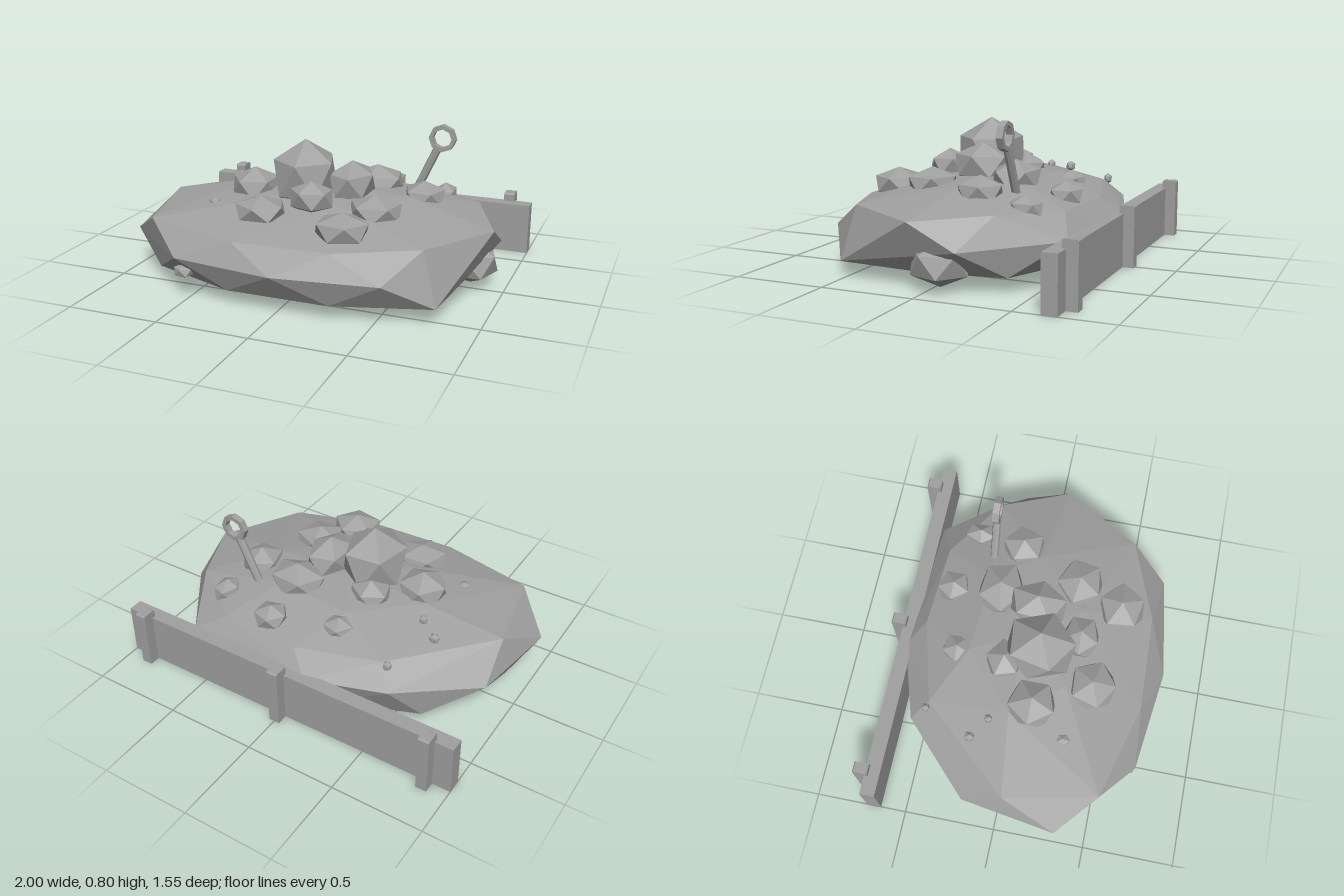
import * as THREE from 'three';
import { ConvexGeometry } from 'three/addons/geometries/ConvexGeometry.js';

export function createModel() {
  const model = new THREE.Group();
  const grey = new THREE.MeshStandardMaterial({ color: 0xa0a0a0, flatShading: true });
  grey.name = 'stone grey';

  const add = (name, geometry, x = 0, y = 0, z = 0, parent = model) => {
    const mesh = new THREE.Mesh(geometry, grey);
    mesh.name = name;
    mesh.position.set(x, y, z);
    parent.add(mesh);
    return mesh;
  };

  // Faceted mound: the hull of a few uneven rings of [x, z] at given heights
  const points = [];
  const ring = (y, list) => list.forEach(([x, z, dy = 0]) => points.push(new THREE.Vector3(x, y + dy, z)));
  ring(0, [[-0.56, 0.2], [-0.3, 0.45], [0.15, 0.49], [0.42, 0.3], [0.45, -0.1], [0.2, -0.34], [-0.25, -0.33], [-0.52, -0.1]]);
  ring(0.08, [[-0.89, 0.12], [-0.76, 0.5], [-0.27, 0.68], [0.28, 0.68], [0.78, 0.53], [0.82, 0.05],
    [0.76, -0.38], [0.3, -0.58], [-0.2, -0.58], [-0.66, -0.4]]);
  ring(0.22, [[-0.99, 0.33], [-0.56, 0.7], [0, 0.77], [0.55, 0.69], [0.84, 0.29], [0.94, -0.19],
    [0.62, -0.63, 0.03], [0.21, -0.65, 0.04], [-0.12, -0.68, 0.05], [-0.54, -0.55, 0.06], [-0.91, -0.19]]);
  ring(0.36, [[-0.78, 0.53], [-0.25, 0.67, -0.02], [0.27, 0.65, -0.02], [0.7, 0.48], [0.95, 0.06, -0.01],
    [0.78, -0.32, 0.02], [0.45, -0.55], [0, -0.58], [-0.45, -0.46, 0.02], [-0.89, 0.03, 0.02]]);
  ring(0.46, [[-0.45, -0.02], [-0.15, -0.3], [0.3, -0.27], [0.47, -0.02], [0.2, 0.27, -0.01], [-0.25, 0.25, -0.01]]);
  ring(0.49, [[0, -0.02]]);
  add('mound', new ConvexGeometry(points));

  // Icosahedron standing on a vertex, scaled to each rock
  const rockGeometry = new THREE.IcosahedronGeometry(1, 0);
  rockGeometry.rotateZ(Math.atan(2 / (1 + Math.sqrt(5))));
  const rock = (name, x, y, z, rx, ry, rz, turn = 0) => {
    const geometry = rockGeometry.clone().rotateY(turn).scale(rx, ry, rz);
    return add(name, geometry, x, y, z);
  };

  rock('summitRock', -0.085, 0.55, 0.08, 0.19, 0.2, 0.21, 0.4);
  const pile = [
    [-0.38, 0.46, 0.09, 0.145, 0.11, 0.145], [-0.17, 0.46, -0.1, 0.125, 0.09, 0.11],
    [0.16, 0.52, 0.02, 0.135, 0.12, 0.175], [0.23, 0.47, -0.2, 0.17, 0.1, 0.14],
    [0.36, 0.44, 0.22, 0.155, 0.085, 0.14], [0.27, 0.41, 0.47, 0.155, 0.085, 0.14],
    [-0.21, 0.43, 0.39, 0.15, 0.075, 0.14], [0.03, 0.49, 0.28, 0.13, 0.09, 0.11],
    [0.52, 0.44, -0.13, 0.125, 0.085, 0.13],
  ];
  pile.forEach(([x, y, z, ...size], i) => rock('pileRock', x, y, z, ...size, i * 0.9));

  // Rocks and pebbles mostly sunk into the mound
  rock('sideRock', 0.81, 0.135, -0.05, 0.16, 0.12, 0.165, 0.3);
  const sunken = [
    [0.22, 0.4, -0.47, 0.1, 0.07, 0.1], [-0.14, 0.41, -0.37, 0.09, 0.06, 0.09], [0.57, 0.38, -0.39, 0.07, 0.07, 0.1],
    [-0.49, 0.38, -0.47, 0.025, 0.03, 0.025], [-0.61, 0.42, -0.2, 0.03, 0.03, 0.03],
    [-0.5, 0.44, -0.12, 0.025, 0.03, 0.025], [-0.53, 0.41, 0.29, 0.035, 0.025, 0.04],
    [-0.53, 0.14, 0.65, 0.06, 0.04, 0.06],
  ];
  sunken.forEach(([x, y, z, ...size], i) => rock('sunkenRock', x, y, z, ...size, i * 1.3));

  // Leaning handle with an eight-sided ring at its tip
  const handle = new THREE.Group();
  handle.name = 'ringHandle';
  handle.position.set(0.42, 0.4, -0.285);
  handle.rotation.z = -0.43;
  model.add(handle);
  add('handleRod', new THREE.CylinderGeometry(0.023, 0.023, 0.3, 8), 0, 0.15, 0, handle);
  const outline = new THREE.Shape();
  const hole = new THREE.Path();
  const corners = (r) => Array.from({ length: 8 }, (_, i) => {
    const a = (i + 0.5) * Math.PI / 4;
    return new THREE.Vector2(r * Math.cos(a), r * Math.sin(a));
  });
  outline.setFromPoints(corners(0.076));
  hole.setFromPoints(corners(0.052));
  outline.holes.push(hole);
  const ringGeometry = new THREE.ExtrudeGeometry(outline, { depth: 0.036, bevelEnabled: false }).translate(0, 0, -0.018);
  add('handleRing', ringGeometry, 0, 0.362, 0, handle);

  // Board barrier with three posts behind it
  add('barrierBoard', new THREE.BoxGeometry(2, 0.285, 0.08), 0, 0.1425, -0.68);
  for (const x of [-0.87, 0, 0.87]) {
    const side = new THREE.Shape([
      [-0.04, 0], [0.04, 0], [0.04, 0.323], [0.033, 0.33], [-0.033, 0.33], [-0.04, 0.323],
    ].map(([a, b]) => new THREE.Vector2(a, b)));
    const post = new THREE.ExtrudeGeometry(side, { depth: 0.06, bevelEnabled: false });
    post.translate(0, 0, -0.03).rotateY(Math.PI / 2);
    add('barrierPost', post, x, 0, -0.74);
  }
  return model;
}
